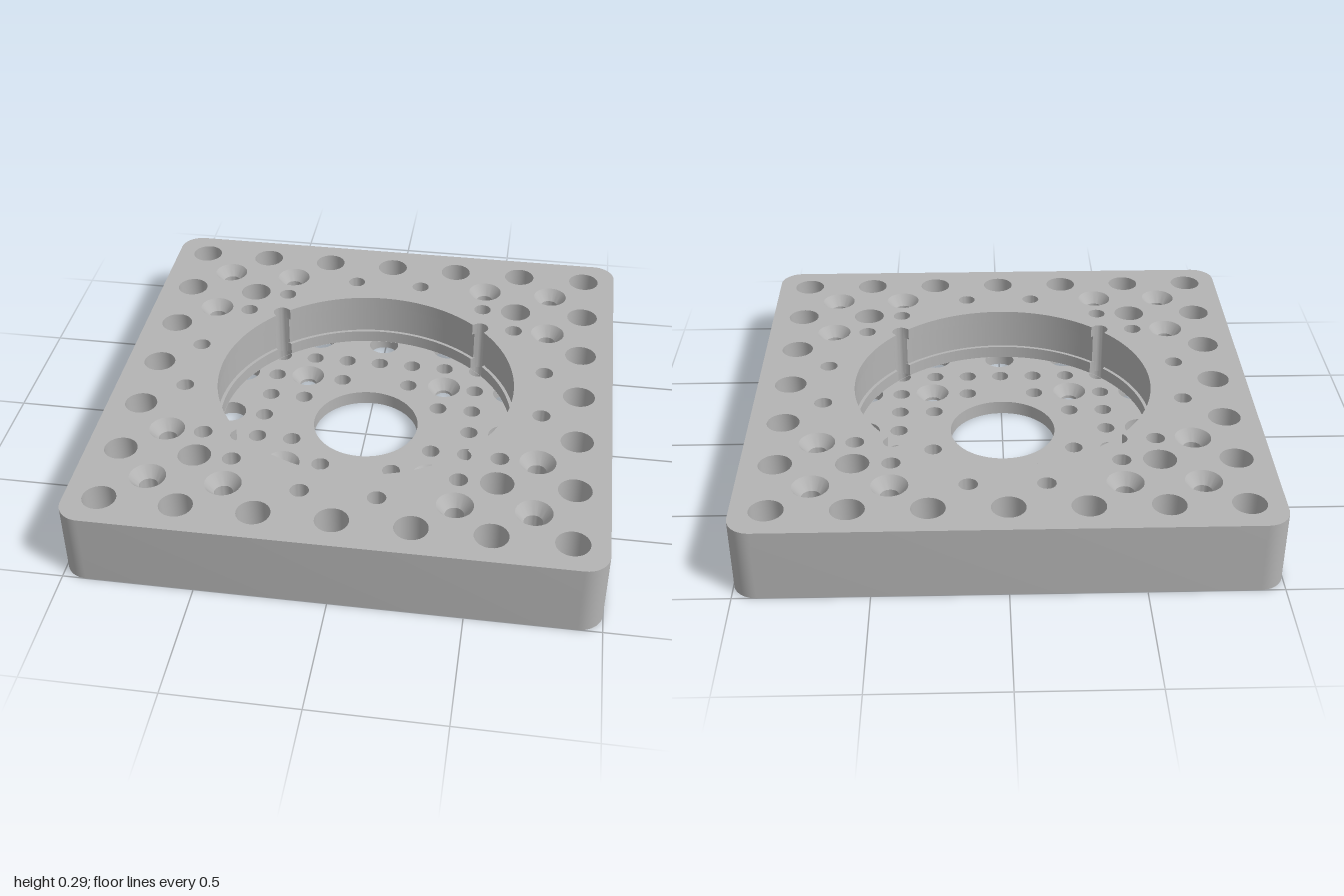
import * as THREE from 'three';
import { mergeGeometries, toCreasedNormals } from 'three/addons/utils/BufferGeometryUtils.js';

const U = 0.1443;                       // hole grid pitch
const H = 0.29, FLOOR = 0.058;          // block height, pocket floor height
const BIG = 0.064, SMALL = 0.036, SINK = 0.07, SINK_DEPTH = 0.045;
const POCKET = 0.604, BORE = 0.217;

// Every mirrored and swapped copy of a grid position
function spread(pairs) {
  const found = new Map();
  for (const [a, b] of pairs)
    for (const [i, j] of [[a, b], [b, a]])
      for (const s of [1, -1]) for (const t of [1, -1]) {
        const x = i * s + 0, z = j * t + 0;
        found.set(x + ',' + z, [x * U, z * U]);
      }
  return [...found.values()];
}

function circle(x, z, r, n = 28) {
  return Array.from({ length: n }, (_, i) => {
    const t = (i / n) * Math.PI * 2;
    return new THREE.Vector2(x + r * Math.cos(t), z + r * Math.sin(t));
  });
}

// Round pocket outline, notched by the four small holes on its diagonals
function pocketOutline(r) {
  const n = 720, d = 3 * U * Math.SQRT2;
  return Array.from({ length: n }, (_, i) => {
    const t = (i / n) * Math.PI * 2;
    const off = (t % (Math.PI / 2)) - Math.PI / 4;
    const k = SMALL ** 2 - (d * Math.sin(off)) ** 2;
    const rho = k > 0 ? Math.max(r, d * Math.cos(off) + Math.sqrt(k)) : r;
    return new THREE.Vector2(rho * Math.cos(t), rho * Math.sin(t));
  });
}

function roundedSquare(half, r) {
  const pts = [];
  [[1, 1], [-1, 1], [-1, -1], [1, -1]].forEach(([sx, sz], q) => {
    for (let i = 0; i <= 10; i++) {
      const t = (q + i / 10) * Math.PI / 2;
      pts.push(new THREE.Vector2(sx * (half - r) + r * Math.cos(t), sz * (half - r) + r * Math.sin(t)));
    }
  });
  return pts;
}

// Flat face with holes, facing up or down
function face(outline, holes, y, up) {
  const shape = new THREE.Shape(outline);
  shape.holes = holes.map(h => new THREE.Path(h));
  const g = new THREE.ShapeGeometry(shape);
  g.rotateX(up ? -Math.PI / 2 : Math.PI / 2);
  g.translate(0, y, 0);
  return g;
}

// Wall through rings [points, y]: faces inward when rising, outward when falling
function wall(rings) {
  const n = rings[0][0].length, pos = [], idx = [];
  for (const [pts, y] of rings) for (const p of pts) pos.push(p.x, y, p.y);
  for (let k = 0; k < rings.length - 1; k++)
    for (let i = 0; i < n; i++) {
      const j = (i + 1) % n, a = k * n, b = a + n;
      idx.push(a + i, a + j, b + i, a + j, b + j, b + i);
    }
  const g = new THREE.BufferGeometry();
  g.setAttribute('position', new THREE.Float32BufferAttribute(pos, 3));
  g.setIndex(idx);
  return toCreasedNormals(g, 0.5);
}

// Move points of a ring so their distance from the centre stays in a range
const clampRing = (pts, lo, hi) => pts.map(p => p.clone().setLength(
  Math.min(hi, Math.max(lo, p.length()))));

export function createModel() {
  const group = new THREE.Group();
  const metal = new THREE.MeshStandardMaterial({ color: 0xb4b4b4 });
  metal.name = 'grey metal';
  const add = (name, geometry) => {
    const m = new THREE.Mesh(geometry, metal);
    m.name = name;
    group.add(m);
  };

  // Hole kinds: through the rim, through the floor, and blind from below
  const make = (pairs, r) => spread(pairs).map(([x, z]) => ({ x, z, r }));
  const rimHoles = [
    ...make([[6, 6], [6, 4], [6, 2], [6, 0], [4, 4]], BIG),
    ...make([[5, 1], [4, 3]], SMALL),
  ];
  const rimSinks = make([[5, 5], [5, 3]], SMALL);
  const floorHoles = make([[3, 3], [3, 2], [3, 1], [3, 0], [2, 1]], SMALL);
  const floorSinks = make([[2.07, 2.07]], SMALL);
  const blindHoles = [
    ...make([[4, 0], [4, 2]], BIG),
    ...make([[6, 5], [6, 3], [6, 1], [5, 4], [5, 2], [5, 0]], SMALL),
  ];
  const ring = (h, r = h.r) => circle(h.x, h.z, r);
  const bore = circle(0, 0, BORE, 96);
  const square = roundedSquare(1, 0.09);

  // Outer block
  add('outerWall', wall([[square, H], [square, 0]]));
  add('topFace', face(square, [
    pocketOutline(POCKET),
    ...rimHoles.map(h => ring(h)),
    ...rimSinks.map(h => ring(h, SINK)),
  ], H, true));
  add('bottomFace', face(square, [
    bore,
    ...[...rimHoles, ...rimSinks, ...floorHoles, ...floorSinks, ...blindHoles].map(h => ring(h)),
  ], 0, false));

  // Pocket with a shallow groove in its wall
  const profile = [[POCKET, FLOOR], [POCKET, 0.11], [0.618, 0.11], [0.618, 0.24], [POCKET, 0.24], [POCKET, H]];
  add('pocketWall', wall(profile.map(([r, y]) => [pocketOutline(r), y])));
  const openBlind = blindHoles.filter(h => Math.hypot(h.x, h.z) - h.r < POCKET - 0.005);
  add('pocketFloor', face(circle(0, 0, POCKET + 0.0005, 720), [
    bore,
    ...[...floorHoles, ...openBlind].map(h => clampRing(ring(h), 0, POCKET - 0.001)),
    ...floorSinks.map(h => ring(h, SINK)),
  ], FLOOR, true));
  add('centreBore', wall([[bore, 0], [bore, FLOOR]]));

  // Straight hole walls
  const straight = (h, top) => wall([[ring(h), 0], [ring(h), top]]);
  add('rimHoles', mergeGeometries(rimHoles.map(h => straight(h, H))));
  add('floorHoles', mergeGeometries(floorHoles.map(h => straight(h, FLOOR))));
  add('blindHoles', mergeGeometries(blindHoles.map(h => straight(h, FLOOR))));

  // Ends of the blind holes, left open where they meet the pocket
  add('blindHoleEnds', mergeGeometries(blindHoles.map(h =>
    face(clampRing(ring(h), POCKET, 9), [], FLOOR, false))));

  // Countersunk screw holes
  const sunk = (h, top) => wall([[ring(h), 0], [ring(h), top - SINK_DEPTH], [ring(h, SINK), top]]);
  add('rimScrewHoles', mergeGeometries(rimSinks.map(h => sunk(h, H))));
  add('floorScrewHoles', mergeGeometries(floorSinks.map(h => sunk(h, FLOOR))));
  return group;
}
